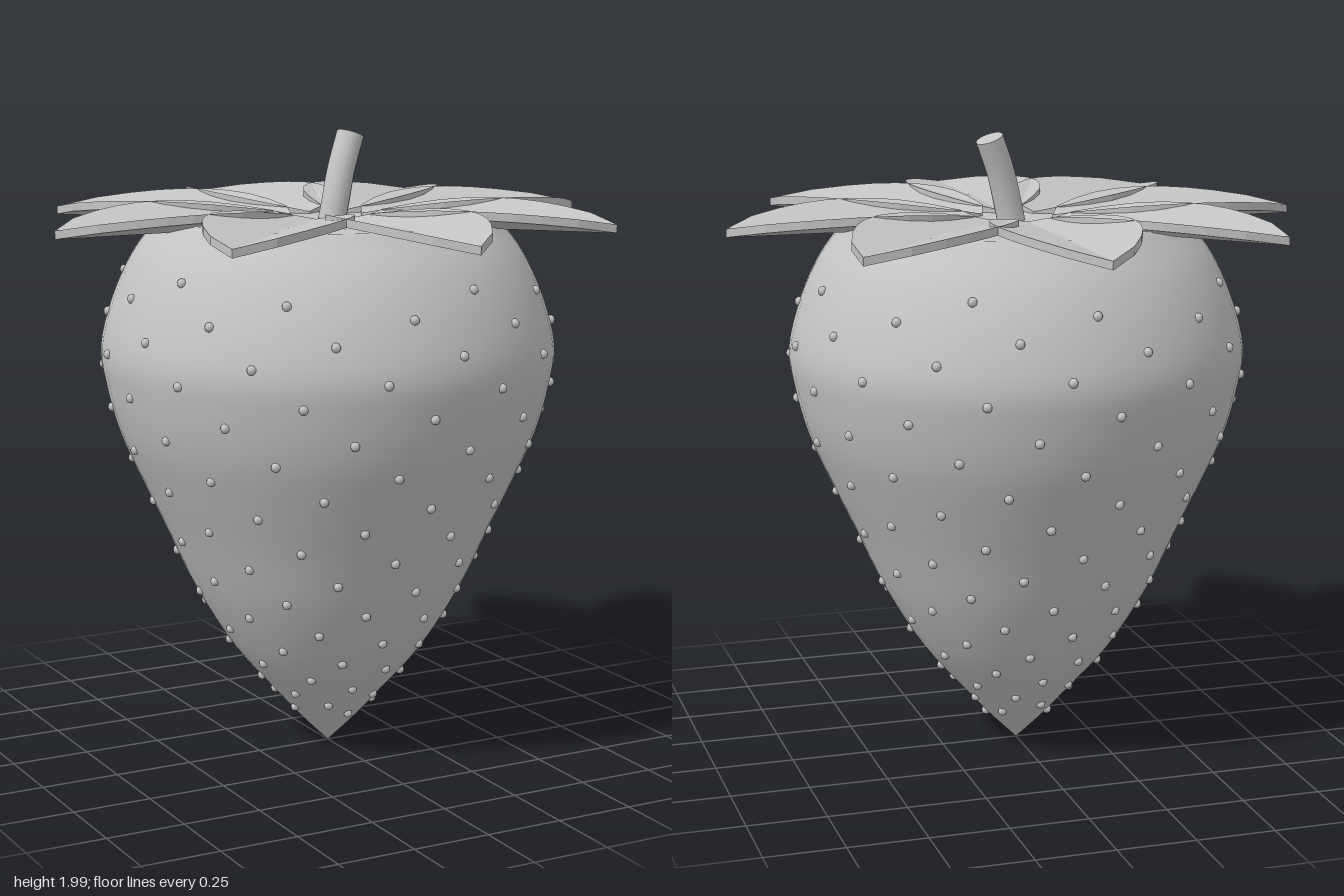
import * as THREE from 'three';
import { mergeGeometries } from 'three/addons/utils/BufferGeometryUtils.js';

const V2 = (x, y) => new THREE.Vector2(x, y);

export function createModel() {
  const model = new THREE.Group();
  const grey = new THREE.MeshStandardMaterial({ color: 0xc4c4c4 });
  grey.name = 'light grey';
  const add = (name, geometry, parent = model) => {
    const mesh = new THREE.Mesh(geometry, grey);
    mesh.name = name;
    parent.add(mesh);
    return mesh;
  };

  // Fruit body: pointed below, broad shoulder, shallow dimple on top
  const side = new THREE.SplineCurve([
    [0, 0.005], [0.09, 0.095], [0.175, 0.19], [0.307, 0.344], [0.43, 0.545],
    [0.52, 0.74], [0.6, 0.91], [0.665, 1.06], [0.705, 1.21], [0.718, 1.33],
    [0.68, 1.48], [0.62, 1.61], [0.555, 1.7], [0.53, 1.732],
  ].map(([x, y]) => V2(x, y))).getPoints(52);
  side[0].x = 0;
  const top = [V2(0.42, 1.733), V2(0.3, 1.73), V2(0.15, 1.724), V2(0, 1.72)];
  add('fruitBody', new THREE.LatheGeometry([...side, ...top], 64));

  // Seeds: golden-angle spiral over the skin
  const radiusAt = (y) => {
    const i = side.findIndex((p) => p.y >= y);
    const a = side[i - 1], b = side[i];
    return a.x + (b.x - a.x) * (y - a.y) / (b.y - a.y);
  };
  const seeds = [];
  for (let k = -44; k <= 125; k++) {
    const y = 1.195 - 0.00869 * k;
    const angle = THREE.MathUtils.degToRad(-1.3 - 137.508 * k);
    const r = radiusAt(y);
    const seed = new THREE.SphereGeometry(0.015, 8, 6);
    seed.translate(r * Math.sin(angle), y, r * Math.cos(angle));
    seeds.push(seed);
  }
  add('seeds', mergeGeometries(seeds));

  // Leaf: two flat halves folded up from a low midrib
  const outline = [
    [0.16, 0.075], [0.24, 0.135], [0.32, 0.18], [0.4, 0.206], [0.48, 0.216], [0.56, 0.21],
    [0.64, 0.19], [0.72, 0.157], [0.82, 0.1],
  ];
  const halfLeaf = (sign) => {
    const shape = new THREE.Shape([V2(0.12, 0), ...outline.map(([u, v]) => V2(u, v * sign)), V2(0.92, 0)]);
    const g = new THREE.ExtrudeGeometry(shape, { depth: 0.026, bevelEnabled: false });
    g.rotateX(-Math.PI / 2);
    const p = g.attributes.position;
    for (let i = 0; i < p.count; i++) p.setY(i, p.getY(i) + 1.704 + 0.23 * Math.abs(p.getZ(i)));
    g.computeVertexNormals();
    return g;
  };
  const leaf = mergeGeometries([halfLeaf(1), halfLeaf(-1)]);
  const crown = new THREE.Group();
  crown.name = 'leafCrown';
  model.add(crown);
  for (let i = 0; i < 8; i++) add('leaf', leaf, crown).rotation.y = i * Math.PI / 4;

  // Stem: short bent tube with a flat cut end
  const path = new THREE.CatmullRomCurve3([
    new THREE.Vector3(0.01, 1.69, 0), new THREE.Vector3(0.025, 1.76, 0),
    new THREE.Vector3(0.052, 1.87, -0.008), new THREE.Vector3(0.093, 1.98, -0.022),
  ]);
  add('stem', new THREE.TubeGeometry(path, 10, 0.044, 16));
  const cut = add('stemEnd', new THREE.CircleGeometry(0.044, 16));
  cut.position.copy(path.getPoint(1));
  cut.quaternion.setFromUnitVectors(new THREE.Vector3(0, 0, 1), path.getTangent(1));

  return model;
}
